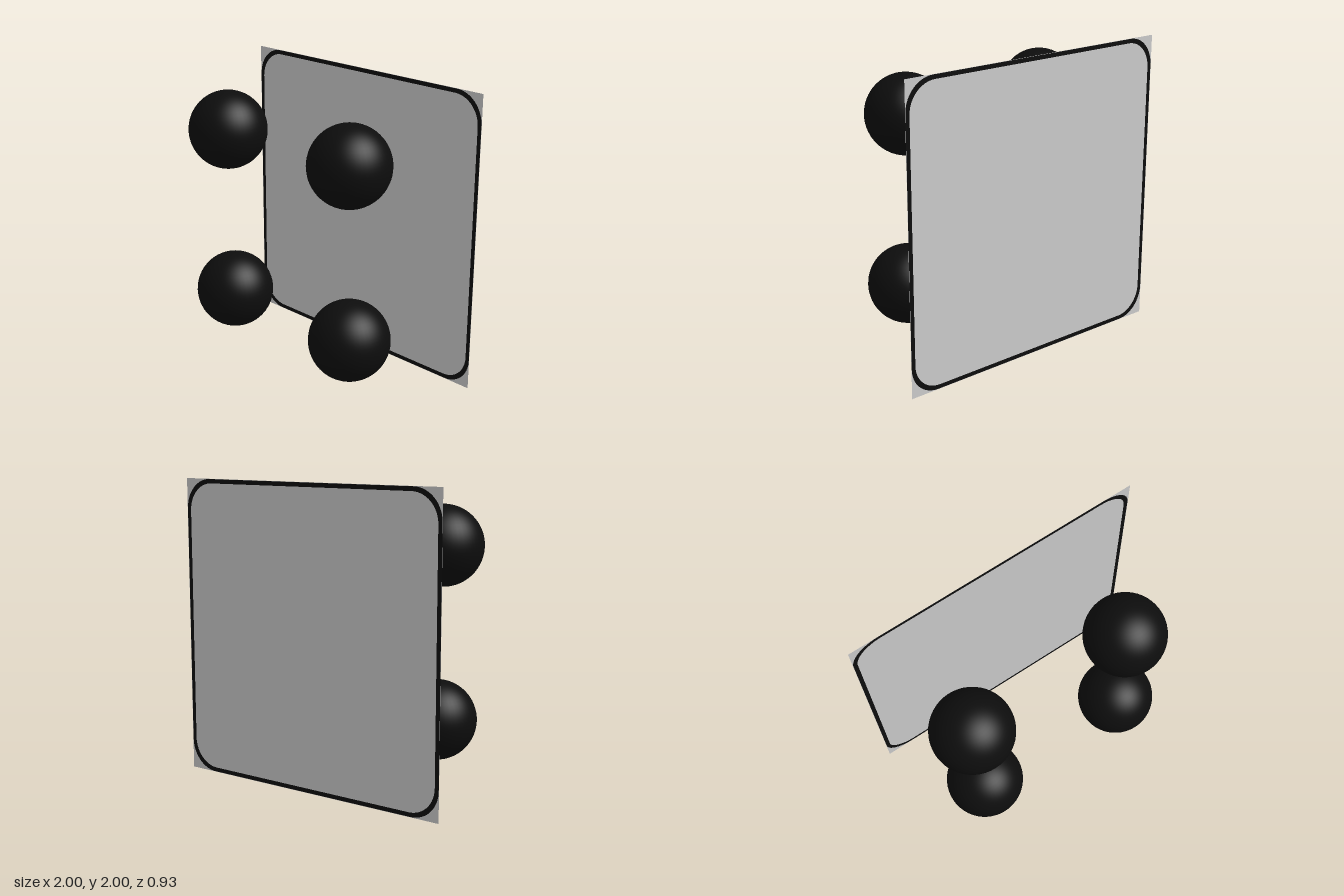
import * as THREE from 'three';

const PLATE_Z = -0.465;

// Traces a centred rounded square onto a shape or path
function roundedSquare(target, half, r) {
  const c = half - r;
  target.moveTo(c, -half);
  target.absarc(c, -c, r, -Math.PI / 2, 0);
  target.absarc(c, c, r, 0, Math.PI / 2);
  target.absarc(-c, c, r, Math.PI / 2, Math.PI);
  target.absarc(-c, -c, r, Math.PI, Math.PI * 1.5);
  target.closePath();
  return target;
}

export function createModel() {
  const model = new THREE.Group();
  const grey = new THREE.MeshStandardMaterial({ color: 0xcccccc, side: THREE.DoubleSide });
  grey.name = 'plateGrey';
  const black = new THREE.MeshStandardMaterial({ color: 0x0d0d0d, side: THREE.DoubleSide });
  black.name = 'black';

  const add = (name, geometry, material, x, y, z) => {
    const mesh = new THREE.Mesh(geometry, material);
    mesh.name = name;
    mesh.position.set(x, y, z);
    model.add(mesh);
  };

  // Flat plate: inner panel, dark border line and the four corners outside it
  const panel = roundedSquare(new THREE.Shape(), 0.97, 0.185);
  const border = roundedSquare(new THREE.Shape(), 0.998, 0.2);
  border.holes.push(roundedSquare(new THREE.Path(), 0.97, 0.185));
  const corners = new THREE.Shape([
    new THREE.Vector2(-1, -1), new THREE.Vector2(1, -1),
    new THREE.Vector2(1, 1), new THREE.Vector2(-1, 1),
  ]);
  corners.holes.push(roundedSquare(new THREE.Path(), 0.998, 0.2));
  add('platePanel', new THREE.ShapeGeometry(panel, 16), grey, 0, 1, PLATE_Z);
  add('plateBorder', new THREE.ShapeGeometry(border, 16), black, 0, 1, PLATE_Z);
  add('plateCorners', new THREE.ShapeGeometry(corners, 16), grey, 0, 1, PLATE_Z);

  // Four balls floating in front of the plate
  const ball = new THREE.SphereGeometry(0.265, 48, 32);
  const spots = {
    upperRightBall: [-0.6, 1.59],
    upperLeftBall: [0.527, 1.585],
    lowerRightBall: [-0.567, 0.44],
    lowerLeftBall: [0.543, 0.424],
  };
  for (const [name, [x, y]] of Object.entries(spots)) add(name, ball, black, x, y, 0.2);

  return model;
}
